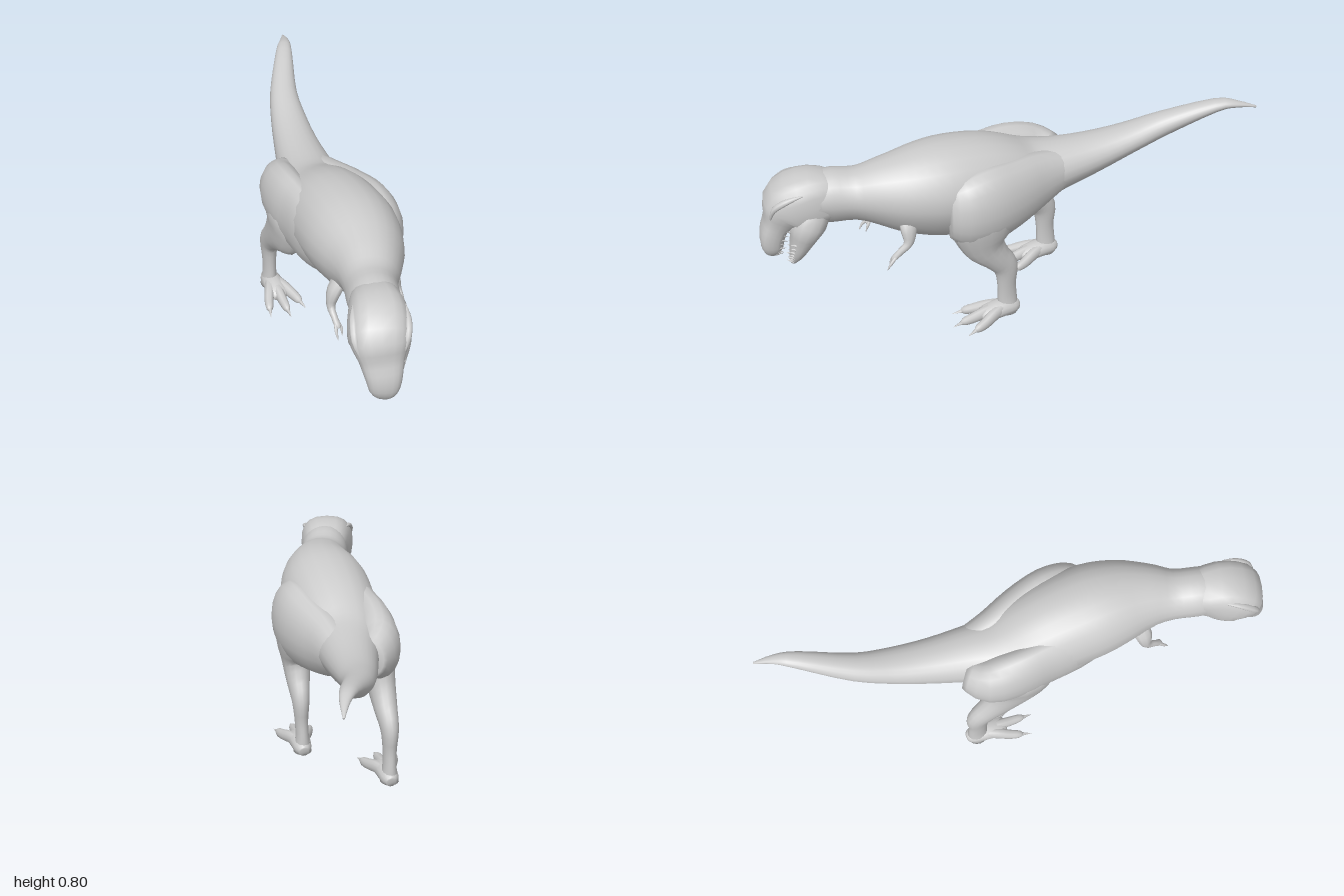
import * as THREE from 'three';

const V = (x, y, z) => new THREE.Vector3(x, y, z);
const UP = V(0, 1, 0), FRONT = V(0, 0, 1), HEAD_UP = V(-0.2, 0.5, 0.65);
const material = new THREE.MeshStandardMaterial({ color: 0xcccccc, roughness: 0.8 });

function mesh(name, geometry) {
  const m = new THREE.Mesh(geometry, material);
  m.name = name;
  return m;
}

// Smoothly sample rows of [x, y, z, half width, half height] at u in 0..1
function sample(rows, u) {
  const t = u * (rows.length - 1), i = Math.min(Math.floor(t), rows.length - 2), f = t - i;
  const at = k => rows[Math.max(0, Math.min(rows.length - 1, k))];
  return rows[i].map((b, k) => {
    const a = at(i - 1)[k], c = at(i + 1)[k], d = at(i + 2)[k];
    return b + 0.5 * f * (c - a + f * (2 * a - 5 * b + 4 * c - d + f * (3 * (b - c) + d - a)));
  });
}

// Cross-section frame: centre, radii and axes
function frame(rows, ref, u) {
  const [x, y, z, w, h] = sample(rows, u);
  const a = sample(rows, Math.max(0, u - 0.01)), b = sample(rows, Math.min(1, u + 0.01));
  const t = V(b[0] - a[0], b[1] - a[1], b[2] - a[2]).normalize();
  const side = ref.clone().cross(t).normalize();
  const up = t.clone().cross(side);
  return { c: V(x, y, z), w: Math.max(w, 0.001), h: Math.max(h, 0.001), side, up };
}

// Point on a section: power below 1 squares it, keel narrows the underside
function ringPoint(f, angle, { keel = 0, power = 1 } = {}) {
  const bend = v => Math.sign(v) * Math.abs(v) ** power;
  const s = bend(Math.sin(angle)), narrow = 1 + keel * Math.min(0, s);
  return f.c.clone().addScaledVector(f.side, bend(Math.cos(angle)) * f.w * narrow).addScaledVector(f.up, s * f.h);
}

// Closed skin through the cross-sections
function loft(name, rows, ref, { n = 14, ...shape } = {}) {
  const count = (rows.length - 1) * 3, pos = [], idx = [];
  for (let i = 0; i <= count; i++) {
    const f = frame(rows, ref, i / count);
    for (let j = 0; j < n; j++) pos.push(...ringPoint(f, j / n * Math.PI * 2, shape).toArray());
  }
  for (let i = 0; i < count; i++) for (let j = 0; j < n; j++) {
    const a = i * n + j, b = i * n + (j + 1) % n;
    idx.push(a, b, b + n, a, b + n, a + n);
  }
  const start = pos.length / 3, last = count * n;
  pos.push(...rows[0].slice(0, 3), ...rows[rows.length - 1].slice(0, 3));
  for (let j = 0; j < n; j++) {
    const k = (j + 1) % n;
    idx.push(start, k, j, start + 1, last + j, last + k);
  }
  const g = new THREE.BufferGeometry();
  g.setAttribute('position', new THREE.Float32BufferAttribute(pos, 3));
  g.setIndex(idx);
  g.computeVertexNormals();
  return mesh(name, g);
}

// Pointed cone from a base point along a direction
function spike(name, base, dir, radius, length) {
  const m = mesh(name, new THREE.ConeGeometry(radius, length, 6));
  const d = dir.clone().normalize();
  m.quaternion.setFromUnitVectors(UP, d);
  m.position.copy(base).addScaledVector(d, length / 2);
  return m;
}

function teeth(name, rows, angles, sign, length) {
  const g = new THREE.Group();
  g.name = name;
  for (let i = 0; i < 7; i++) for (const angle of angles) {
    const f = frame(rows, HEAD_UP, 0.52 + i * 0.068);
    const base = ringPoint(f, angle).addScaledVector(f.up, -sign * 0.008);
    g.add(spike('tooth', base, f.up.clone().multiplyScalar(sign), 0.007, length * (i % 2 ? 0.8 : 1)));
  }
  return g;
}

// Three-toed foot with claws, standing around the ankle at (x, z)
function foot(name, x, z) {
  const g = new THREE.Group();
  g.name = name;
  g.add(loft('footPad', [[x, 0.03, z - 0.045, 0.02, 0.02], [x, 0.036, z - 0.02, 0.036, 0.034],
    [x, 0.04, z + 0.04, 0.044, 0.038], [x, 0.032, z + 0.10, 0.047, 0.03], [x, 0.026, z + 0.125, 0.025, 0.016]], UP));
  for (const s of [-1, 0, 1]) {
    const reach = s ? 0.85 : 1, p = (k, y, l, w, h) => [x + s * k, y, z + l * reach, w, h];
    g.add(loft('toe', [p(0.012, 0.045, 0.03, 0.02, 0.026), p(0.032, 0.042, 0.09, 0.021, 0.026),
      p(0.054, 0.03, 0.15, 0.019, 0.022), p(0.066, 0.024, 0.195, 0.015, 0.016),
      p(0.07, 0.02, 0.212, 0.005, 0.006)], UP, { n: 10, power: 0.8 }));
    g.add(spike('claw', V(x + s * 0.066, 0.024, z + 0.195 * reach), V(s * 0.25, -0.22, 1), 0.011, 0.055));
  }
  return g;
}

function arm(name, mirror) {
  const g = new THREE.Group();
  g.name = name;
  const place = rows => rows.map(([x, ...rest]) => [mirror ? -0.045 - x : x, ...rest]);
  g.add(loft('forearm', place([[0.05, 0.59, 0.465, 0.02, 0.04], [0.096, 0.53, 0.48, 0.026, 0.036],
    [0.115, 0.468, 0.49, 0.017, 0.02], [0.116, 0.437, 0.525, 0.013, 0.014],
    [0.113, 0.415, 0.55, 0.013, 0.011], [0.112, 0.405, 0.56, 0.008, 0.007]]), FRONT, { n: 10 }));
  for (const s of [-1, 1]) {
    g.add(loft('finger', place([[0.113 + s * 0.006, 0.42, 0.545, 0.007, 0.007],
      [0.113 + s * 0.013, 0.398, 0.565 + s * 0.006, 0.006, 0.006],
      [0.113 + s * 0.012, 0.372, 0.578 + s * 0.01, 0.001, 0.001]]), FRONT, { n: 8 }));
  }
  return g;
}

export function createModel() {
  const model = new THREE.Group();
  model.name = 'dinosaur';

  // Tail, trunk and neck in one skin
  model.add(loft('body', [
    [0.235, 0.741, -1, 0.004, 0.004], [0.212, 0.762, -0.92, 0.02, 0.014], [0.178, 0.758, -0.84, 0.035, 0.027],
    [0.1, 0.682, -0.65, 0.057, 0.05], [0.066, 0.632, -0.5, 0.076, 0.063], [0.042, 0.595, -0.35, 0.095, 0.086],
    [0.022, 0.572, -0.2, 0.118, 0.113], [0.003, 0.558, -0.08, 0.146, 0.146], [0.003, 0.565, 0.05, 0.174, 0.19],
    [0.004, 0.584, 0.18, 0.187, 0.208], [0.002, 0.607, 0.32, 0.188, 0.202], [-0.01, 0.622, 0.44, 0.165, 0.176],
    [-0.032, 0.632, 0.54, 0.13, 0.14], [-0.062, 0.633, 0.63, 0.102, 0.109], [-0.088, 0.637, 0.72, 0.099, 0.113],
    [-0.1, 0.64, 0.79, 0.095, 0.1]], UP, { n: 24, keel: 0.25, power: 0.93 }));

  // Head: boxy brow, snout turned down and rolled towards its right
  const head = new THREE.Group();
  head.name = 'head';
  const skull = [[-0.085, 0.64, 0.7, 0.08, 0.085], [-0.108, 0.645, 0.79, 0.106, 0.113], [-0.139, 0.615, 0.88, 0.112, 0.108],
    [-0.148, 0.553, 0.925, 0.084, 0.058], [-0.15, 0.49, 0.95, 0.068, 0.05], [-0.15, 0.435, 0.953, 0.054, 0.042],
    [-0.151, 0.4, 0.948, 0.028, 0.022]];
  const jaw = [[-0.085, 0.64, 0.775, 0.06, 0.06], [-0.083, 0.555, 0.823, 0.09, 0.074], [-0.09, 0.478, 0.85, 0.073, 0.05],
    [-0.1, 0.41, 0.874, 0.052, 0.03], [-0.105, 0.37, 0.892, 0.026, 0.014]];
  head.add(loft('skull', skull, HEAD_UP, { n: 20, power: 0.75 }), loft('lowerJaw', jaw, HEAD_UP, { n: 16, power: 0.9 }));
  head.add(teeth('upperTeeth', skull, [-0.6, Math.PI + 0.6], -1, 0.036));
  head.add(teeth('lowerTeeth', jaw, [0.6, Math.PI - 0.6], 1, 0.03));
  for (const angle of [0.6, Math.PI - 0.6]) {
    const ridge = [0.2, 0.28, 0.36, 0.44].map((u, i) => [
      ...ringPoint(frame(skull, HEAD_UP, u), angle, { power: 0.8 }).toArray(), ...(i % 3 ? [0.014, 0.011] : [0.003, 0.003])]);
    head.add(loft('browRidge', ridge, HEAD_UP, { n: 8 }));
  }
  model.add(head);

  // Haunches taper back into the tail root
  model.add(loft('leftHaunch', [
    [0.05, 0.585, -0.27, 0.06, 0.06], [0.08, 0.57, -0.09, 0.082, 0.125], [0.12, 0.565, 0.05, 0.096, 0.155],
    [0.146, 0.565, 0.17, 0.1, 0.17], [0.15, 0.565, 0.27, 0.088, 0.15], [0.135, 0.565, 0.325, 0.055, 0.11]], UP, { n: 18 }));
  model.add(loft('rightHaunch', [
    [-0.05, 0.575, -0.24, 0.06, 0.075], [-0.106, 0.57, -0.165, 0.085, 0.125], [-0.118, 0.57, -0.05, 0.085, 0.155],
    [-0.11, 0.57, 0.06, 0.08, 0.16], [-0.1, 0.575, 0.18, 0.083, 0.15], [-0.08, 0.59, 0.31, 0.08, 0.12]], UP, { n: 18 }));

  // Left leg swings forward, right leg back
  model.add(loft('leftLeg', [
    [0.13, 0.66, 0.16, 0.05, 0.08], [0.152, 0.575, 0.177, 0.085, 0.145], [0.156, 0.485, 0.19, 0.08, 0.143],
    [0.155, 0.39, 0.185, 0.06, 0.092], [0.157, 0.315, 0.14, 0.048, 0.062], [0.158, 0.25, 0.095, 0.037, 0.053],
    [0.157, 0.16, 0.089, 0.028, 0.04], [0.155, 0.08, 0.085, 0.028, 0.042],
    [0.155, 0.015, 0.083, 0.038, 0.043]], FRONT, { n: 16 }));
  model.add(loft('rightLeg', [
    [-0.1, 0.64, -0.03, 0.05, 0.08], [-0.124, 0.54, -0.04, 0.076, 0.15],
    [-0.13, 0.455, -0.06, 0.064, 0.135], [-0.132, 0.38, -0.115, 0.055, 0.088], [-0.133, 0.315, -0.178, 0.047, 0.06],
    [-0.136, 0.25, -0.23, 0.037, 0.053], [-0.136, 0.16, -0.236, 0.028, 0.04], [-0.135, 0.08, -0.24, 0.028, 0.042],
    [-0.135, 0.015, -0.242, 0.038, 0.043]], FRONT, { n: 16 }));
  model.add(foot('leftFoot', 0.157, 0.083), foot('rightFoot', -0.132, -0.242));
  model.add(arm('leftArm', false), arm('rightArm', true));
  return model;
}
